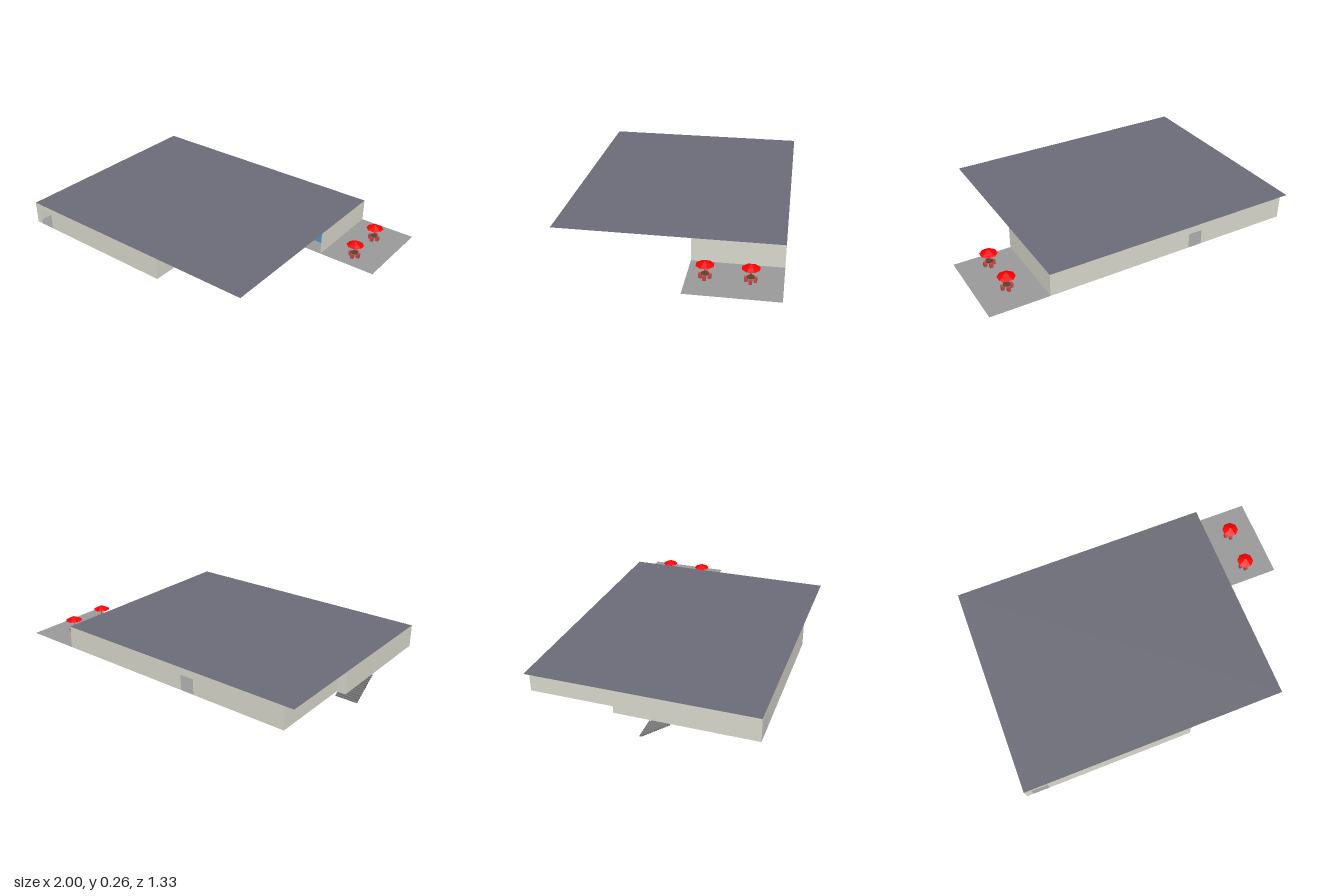
import * as THREE from 'three';

const FLOOR = 0.12, ROOF = 0.26;
const paint = (color, side = THREE.FrontSide) =>
  new THREE.MeshStandardMaterial({ color, side, flatShading: true });
const M = {
  wall: paint(0xd8d8cc, THREE.DoubleSide),
  floor: paint(0x999999, THREE.DoubleSide),
  roof: paint(0x6c6c78, THREE.DoubleSide),
  stair: paint(0x777777),
  blue: paint(0x4f98d0),
  red: paint(0xff0000, THREE.DoubleSide),
  chair: paint(0xc04848),
  wood: paint(0x5a4030),
  grey: paint(0xcccccc),
};

function add(parent, name, geometry, material, x = 0, y = 0, z = 0) {
  const mesh = new THREE.Mesh(geometry, material);
  mesh.name = name;
  mesh.position.set(x, y, z);
  parent.add(mesh);
  return mesh;
}

const box = (parent, name, mat, w, h, d, x, y, z) =>
  add(parent, name, new THREE.BoxGeometry(w, h, d), mat, x, y + h / 2, z);

const outline = pts => new THREE.Shape(pts.map(([x, y]) => new THREE.Vector2(x, y)));

// Horizontal sheet from an outline of [x, z] corners
function sheet(parent, name, mat, pts, y) {
  const geo = new THREE.ShapeGeometry(outline(pts.map(([x, z]) => [x, -z])));
  geo.rotateX(-Math.PI / 2);
  return add(parent, name, geo, mat, 0, y, 0);
}

// Upright thin wall between two plan points, with an optional doorway [start, end, top]
function wall(parent, name, [x0, z0], [x1, z1], door) {
  const len = Math.hypot(x1 - x0, z1 - z0), h = ROOF - FLOOR;
  const pts = [[0, 0]];
  if (door) {
    const [a, b, t] = door;
    pts.push([a, 0], [a, t], [b, t], [b, 0]);
  }
  pts.push([len, 0], [len, h], [0, h]);
  const mesh = add(parent, name, new THREE.ShapeGeometry(outline(pts)), M.wall, x0, FLOOR, z0);
  mesh.rotation.y = -Math.atan2(z1 - z0, x1 - x0);
}

// Round table with four stools, and a parasol when outdoors
function tableSet(parent, name, x, z, parasol) {
  const g = new THREE.Group();
  g.name = name;
  g.position.set(x, FLOOR, z);
  parent.add(g);
  for (const [dx, dz] of [[1, 0], [-1, 0], [0, 1], [0, -1]])
    box(g, 'stool', M.chair, 0.019, 0.028, 0.019, dx * 0.025, 0, dz * 0.025);
  add(g, 'tableTop', new THREE.CylinderGeometry(0.022, 0.022, 0.003, 8), M.wood, 0, 0.0295, 0);
  const poleHeight = parasol ? 0.085 : 0.028;
  add(g, 'pole', new THREE.CylinderGeometry(0.0018, 0.0018, poleHeight, 6), M.wood, 0, poleHeight / 2, 0);
  if (parasol) {
    const canopy = add(g, 'parasol', new THREE.ConeGeometry(0.052, 0.027, 8, 1, true), M.red, 0, 0.0945, 0);
    canopy.rotation.y = Math.PI / 8;
  }
}

export function createModel() {
  const root = new THREE.Group();
  root.name = 'pavilion';

  // Flat roof, and the floor with its terrace and stairwell cut-out
  sheet(root, 'roof', M.roof, [[-1, -0.667], [-1, 0.667], [0.647, 0.667], [0.647, -0.667]], ROOF);
  sheet(root, 'floor', M.floor, [
    [1, -0.667], [1, -0.143], [0.23, -0.143], [0.23, -0.033], [0.05, -0.033], [0.05, 0.667],
    [-1, 0.667], [-1, 0.175], [-0.86, 0.175], [-0.86, -0.143], [-0.945, -0.143], [-0.945, -0.667],
  ], FLOOR);

  // Outer walls, followed around the plan; the terrace bay stays open
  const walls = new THREE.Group();
  walls.name = 'walls';
  root.add(walls);
  wall(walls, 'backWall', [-0.945, -0.667], [0.647, -0.667], [0.595, 0.685, 0.095]);
  wall(walls, 'frontWall', [-1, 0.667], [0.05, 0.667], [0.042, 0.142, 0.105]);
  const sides = [
    ['baySideWall', [0.647, -0.667], [0.647, -0.143]],
    ['bayPartition', [0.23, -0.667], [0.23, -0.033]],
    ['recessWall', [0.23, -0.033], [0.05, -0.033]],
    ['leftWall', [0.05, -0.033], [0.05, 0.667]],
    ['rightWall', [-1, 0.667], [-1, -0.143]],
    ['rightReturnWall', [-1, -0.143], [-0.945, -0.143]],
    ['rightRearWall', [-0.945, -0.143], [-0.945, -0.667]],
  ];
  for (const [name, a, b] of sides) wall(walls, name, a, b);

  // Open stair climbing towards the front
  const stairs = new THREE.Group();
  stairs.name = 'stairs';
  root.add(stairs);
  const steps = 14, run = 0.17 / steps, rise = 0.115 / steps;
  for (let i = 0; i < steps; i++)
    box(stairs, 'step', M.stair, 0.139, rise, run * 1.15, -0.93, i * rise, 0.005 + (i + 0.5) * run);

  // Blue block inside the open bay
  box(root, 'blueBlock', M.blue, 0.35, 0.105, 0.4, 0.435, FLOOR, -0.45);

  // Terrace and indoor seating
  for (const z of [-0.245, -0.49]) tableSet(root, 'terraceTable', 0.822, z, true);
  for (const x of [-0.12, -0.29, -0.48]) tableSet(root, 'indoorTable', x, -0.4, false);

  // Counters and indoor units
  box(root, 'longCounter', M.wood, 0.59, 0.05, 0.035, -0.295, FLOOR, -0.1);
  box(root, 'shortCounter', M.wood, 0.035, 0.05, 0.24, -0.67, FLOOR, 0.03);
  for (const [w, d, x, z] of [
    [0.2, 0.16, -0.525, 0.55], [0.16, 0.06, -0.745, 0.43],
    [0.06, 0.2, -0.02, 0.41], [0.2, 0.06, -0.425, 0.05],
  ]) box(root, 'indoorUnit', M.grey, w, 0.05, d, x, FLOOR, z);

  return root;
}
